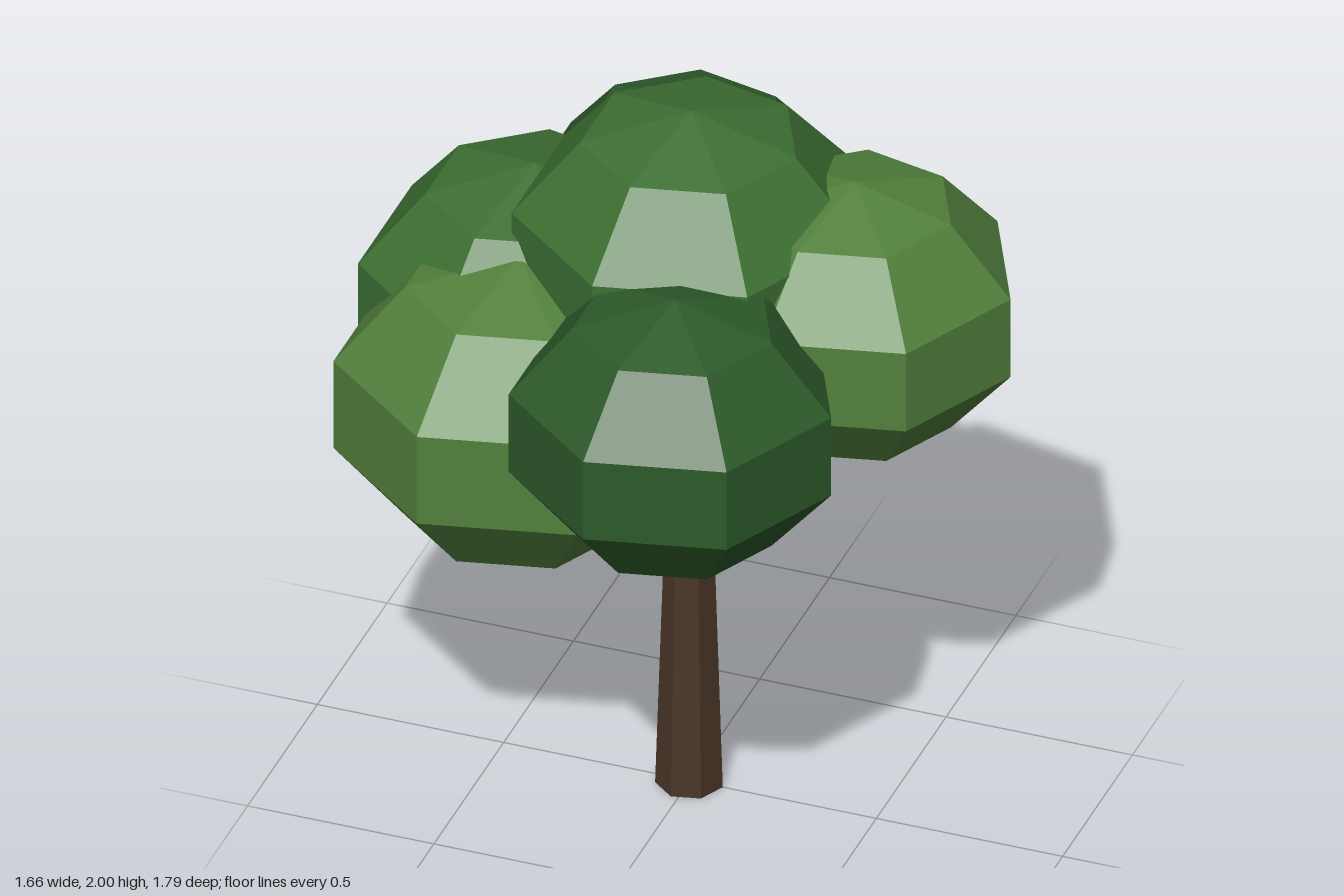
import * as THREE from 'three';

const SIDES = 7;

function flatMaterial(color) {
  return new THREE.MeshStandardMaterial({ color, flatShading: true });
}

const leafMid = flatMaterial(0x3d7033);
const leafLight = flatMaterial(0x52803c);
const leafDark = flatMaterial(0x2d5a2a);
const bark = flatMaterial(0x4a3528);

// Leaf clumps: name, radius, centre, material
const clumps = [
  ['topFoliage', 0.477, [0, 1.595, -0.01], leafMid],
  ['rightFoliage', 0.47, [-0.43, 1.33, -0.037], leafMid],
  ['frontRightFoliage', 0.494, [-0.376, 1.2, 0.217], leafLight],
  ['leftFoliage', 0.441, [0.411, 1.465, -0.08], leafLight],
  ['frontFoliage', 0.441, [0.14, 1.39, 0.482], leafDark],
  ['backFoliage', 0.443, [-0.19, 1.32, -0.485], leafDark],
];

export function createModel() {
  const tree = new THREE.Group();
  tree.name = 'tree';

  // Tapered trunk with one corner toward +x
  const trunkGeometry = new THREE.CylinderGeometry(0.056, 0.088, 1.02, SIDES);
  trunkGeometry.rotateY(Math.PI / 2);
  const trunk = new THREE.Mesh(trunkGeometry, bark);
  trunk.name = 'trunk';
  trunk.position.y = 0.51;
  tree.add(trunk);

  // Slightly squashed faceted balls, one corner toward +x
  for (const [name, radius, centre, material] of clumps) {
    const geometry = new THREE.SphereGeometry(radius, SIDES, 5);
    geometry.rotateY(Math.PI).scale(1, 0.85, 1);
    const clump = new THREE.Mesh(geometry, material);
    clump.name = name;
    clump.position.set(...centre);
    tree.add(clump);
  }

  return tree;
}
